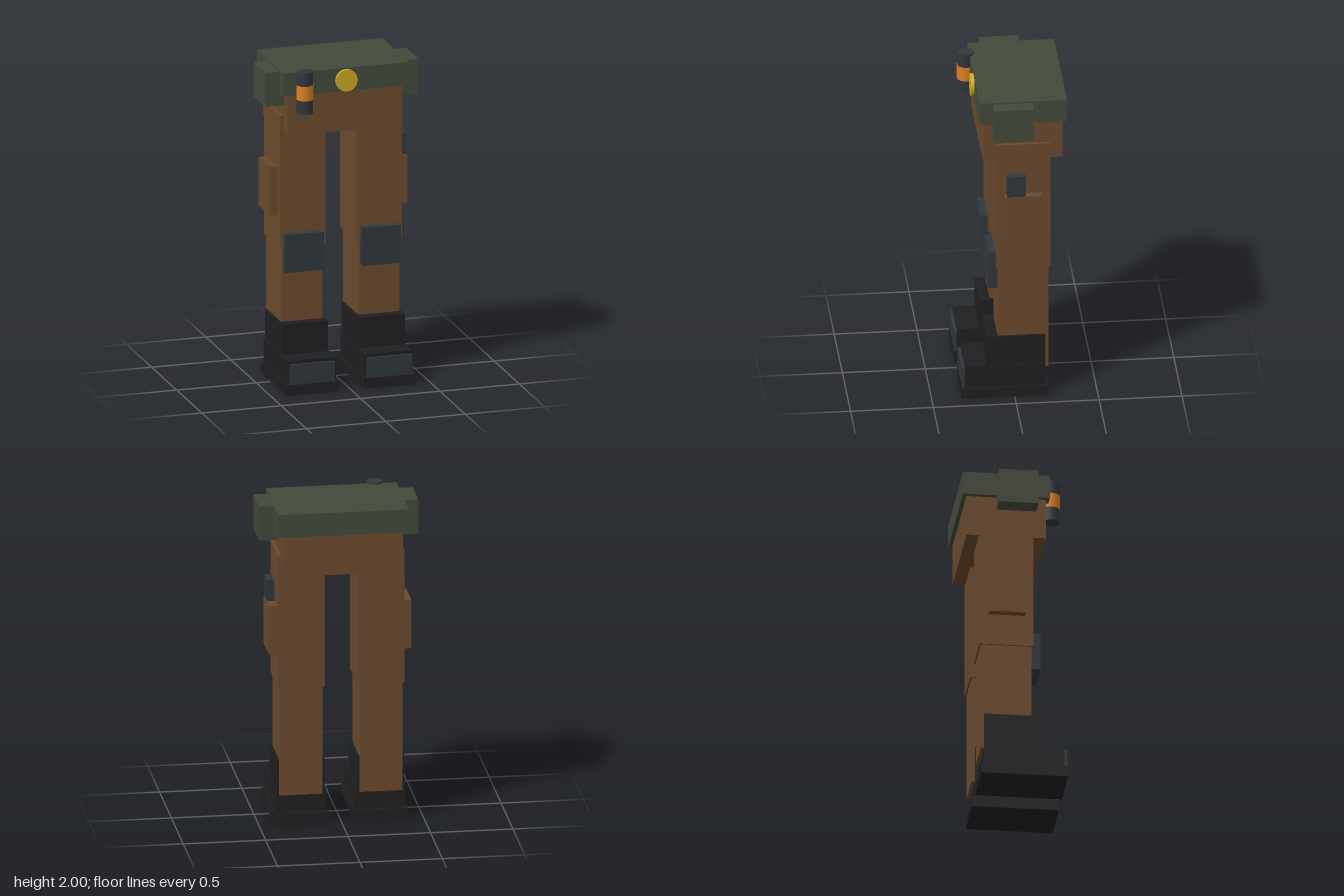
import * as THREE from 'three';

const mat = (color) => new THREE.MeshStandardMaterial({ color });

export function createModel() {
  const model = new THREE.Group();
  const brown = mat(0x6b4a2d);
  const green = mat(0x434a3a);
  const slate = mat(0x31373d);
  const black = mat(0x1f1f21);
  const orange = mat(0xdd8020);
  const gold = mat(0xccaa22);

  // Box given by its extents on each axis
  function box(parent, name, material, [x0, x1], [y0, y1], [z0, z1]) {
    const mesh = new THREE.Mesh(new THREE.BoxGeometry(x1 - x0, y1 - y0, z1 - z0), material);
    mesh.position.set((x0 + x1) / 2, (y0 + y1) / 2, (z0 + z1) / 2);
    mesh.name = name;
    parent.add(mesh);
    return mesh;
  }

  // Waist
  box(model, 'belt', green, [-0.395, 0.395], [1.845, 1.99], [-0.317, 0.208]);
  box(model, 'pelvis', brown, [-0.363, 0.363], [1.59, 1.85], [-0.293, 0.188]);

  // Belt buckle
  const buckle = new THREE.Mesh(new THREE.CylinderGeometry(0.068, 0.068, 0.04, 24), gold);
  buckle.rotation.x = Math.PI / 2;
  buckle.position.set(0, 1.915, 0.21);
  buckle.name = 'buckle';
  model.add(buckle);

  // Canister clipped to the front of the belt
  const canister = new THREE.Group();
  canister.name = 'canister';
  canister.position.set(-0.265, 1.87, 0.23);
  for (const [name, radius, height, material] of [
    ['canisterBody', 0.052, 0.26, slate],
    ['canisterBand', 0.055, 0.09, orange],
  ]) {
    const mesh = new THREE.Mesh(new THREE.CylinderGeometry(radius, radius, height, 10), material);
    mesh.rotation.y = Math.PI / 2;
    mesh.name = name;
    canister.add(mesh);
  }
  model.add(canister);

  // Legs, boots and side pouches, mirrored about x = 0
  for (const [side, s] of [['left', 1], ['right', -1]]) {
    const leg = new THREE.Group();
    leg.name = side + 'Leg';
    const part = (name, material, [x0, x1], y, z) =>
      box(leg, name, material, s > 0 ? [x0, x1] : [-x1, -x0], y, z);

    part('beltPouch', green, [0.34, 0.483], [1.765, 1.98], [-0.11, 0.13]);
    part('thigh', brown, [0.098, 0.383], [0.862, 1.695], [-0.217, 0.11]);
    part('shin', brown, [0.113, 0.373], [0.18, 0.87], [-0.207, 0.1]);
    part('thighPocket', brown, [0.37, 0.433], [1.06, 1.365], [-0.162, 0.06]);
    part('kneePad', slate, [0.122, 0.363], [0.72, 0.957], [0.08, 0.155]);
    part('bootShaft', black, [0.098, 0.385], [0.19, 0.4], [-0.187, 0.165]);
    part('bootFoot', black, [0.09, 0.394], [0.05, 0.21], [-0.187, 0.297]);
    part('bootSole', black, [0.078, 0.407], [0, 0.065], [-0.207, 0.317]);
    part('toeCap', slate, [0.102, 0.385], [0.06, 0.19], [0.25, 0.315]);
    model.add(leg);
  }

  // Small sheath tucked into the left thigh pocket
  box(model, 'sheath', slate, [0.37, 0.431], [1.25, 1.5], [-0.065, 0.048]);

  return model;
}
